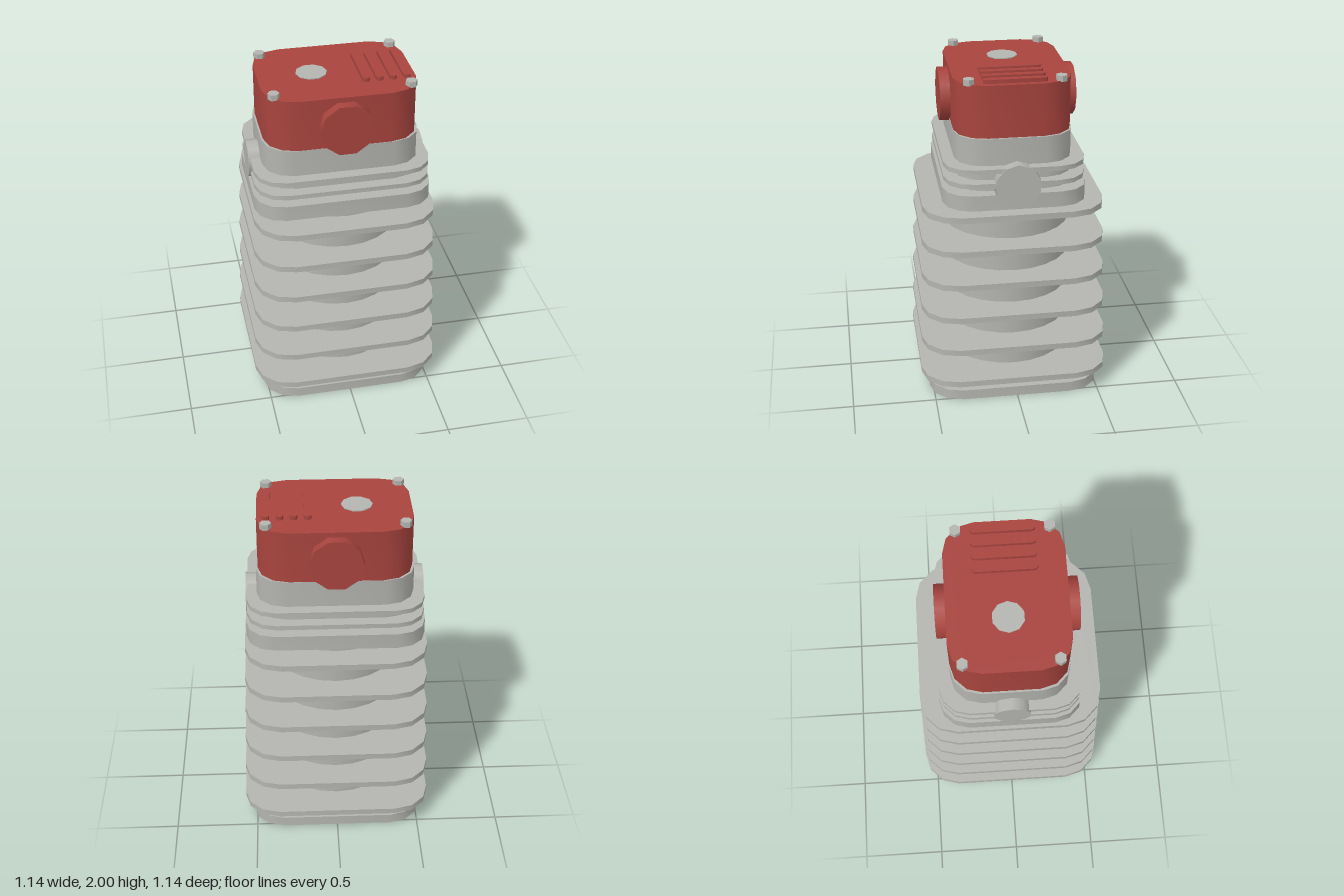
import * as THREE from 'three';
import { toCreasedNormals } from 'three/addons/utils/BufferGeometryUtils.js';

const grey = new THREE.MeshStandardMaterial({ color: 0xb4b5b0 });
grey.name = 'castGrey';
const red = new THREE.MeshStandardMaterial({ color: 0xa8443e });
red.name = 'coverRed';

// Vertical slab with rounded-rectangle plan, three facets per corner
function slab(hx, hz, r, y0, y1, steps = 3) {
  const pts = [];
  for (let c = 0; c < 4; c++) {
    const sx = c === 0 || c === 3 ? 1 : -1;
    const sz = c < 2 ? 1 : -1;
    for (let i = 0; i <= steps; i++) {
      const a = (c + i / steps) * Math.PI / 2;
      pts.push(new THREE.Vector2(sx * (hx - r) + r * Math.cos(a), sz * (hz - r) + r * Math.sin(a)));
    }
  }
  const geo = new THREE.ExtrudeGeometry(new THREE.Shape(pts), { depth: y1 - y0, bevelEnabled: false });
  geo.rotateX(-Math.PI / 2).translate(0, y0, 0);
  return toCreasedNormals(geo, 0.7);
}

// Cylinder whose first vertex sits on the local x axis
function round(r, length, sides) {
  return new THREE.CylinderGeometry(r, r, length, sides, 1, false, Math.PI / 2);
}

export function createModel() {
  const group = new THREE.Group();
  const add = (name, geo, mat) => {
    const mesh = new THREE.Mesh(geo, mat);
    mesh.name = name;
    group.add(mesh);
    return mesh;
  };

  // Cylinder barrel with its foot and tapering cooling fins
  add('baseFlange', slab(0.52, 0.52, 0.19, 0, 0.062), grey);
  add('barrel', round(0.39, 1.19, 24).translate(0, 0.643, 0), grey);
  for (let i = 0; i < 6; i++) {
    const h = 0.57 - i * 0.0068;
    const y = 0.137 + i * 0.2128;
    add('barrelFin', slab(h, h, 0.215, y - 0.018, y + 0.018), grey);
  }

  // Cylinder head
  add('headBase', slab(0.525, 0.42, 0.17, 1.252, 1.345), grey);
  add('headBody', slab(0.458, 0.342, 0.17, 1.34, 1.66), grey);
  for (const y of [1.399, 1.485]) {
    add('headFin', slab(0.517, 0.411, 0.17, y - 0.014, y + 0.014), grey);
  }

  // Side ports
  add('exhaustPort', round(0.135, 0.145, 10).rotateZ(Math.PI / 2).translate(0.4535, 1.386, 0), grey);
  add('intakePort', round(0.11, 0.145, 10).rotateZ(Math.PI / 2).translate(-0.4545, 1.45, 0), grey);

  // Rocker cover with round caps front and back
  add('rockerCover', slab(0.447, 0.34, 0.18, 1.66, 1.97), red);
  for (const s of [1, -1]) {
    add('coverCap', round(0.157, 0.1, 10).rotateX(Math.PI / 2).translate(0, 1.791, s * 0.35), red);
  }

  // Details on top of the cover
  add('topDisc', round(0.092, 0.01, 10).translate(-0.132, 1.971, 0), grey);
  for (let i = 0; i < 4; i++) {
    add('coverRib', slab(0.0215, 0.183, 0.0213, 1.965, 1.993, 2).translate(0.155 + i * 0.0793, 0, 0), red);
  }
  for (const sx of [1, -1]) {
    for (const sz of [1, -1]) {
      const bolt = round(0.034, 0.035, 6).toNonIndexed();
      bolt.computeVertexNormals();
      add('coverBolt', bolt.translate(sx * 0.393, 1.9825, sz * 0.263), grey);
    }
  }
  return group;
}
